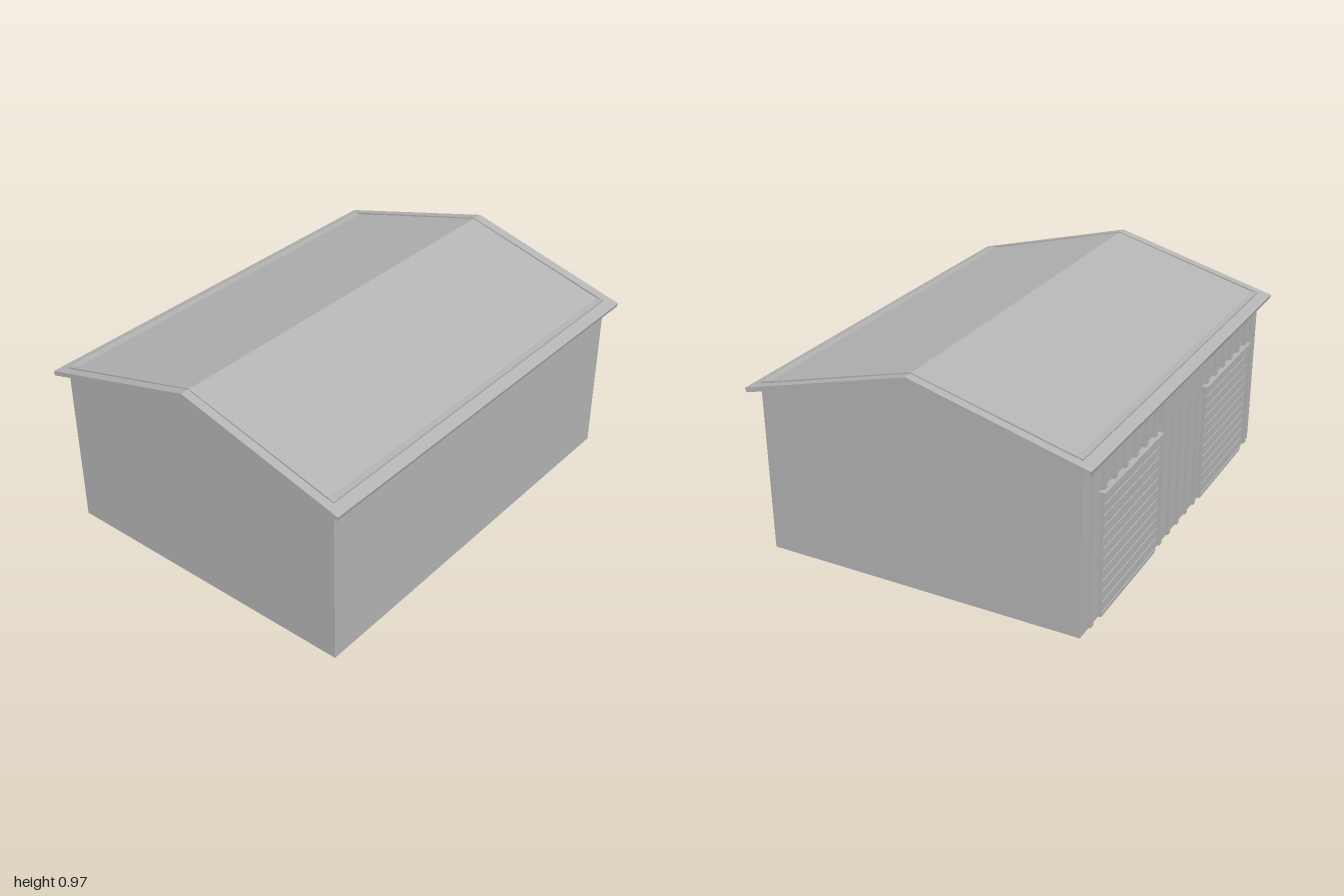
import * as THREE from 'three';

export function createModel() {
  const model = new THREE.Group();
  model.name = 'shed';
  const steel = new THREE.MeshStandardMaterial({ color: 0xb4b4b4 });
  steel.name = 'plain grey steel';

  function add(name, geometry, parent = model) {
    const mesh = new THREE.Mesh(geometry, steel);
    mesh.name = name;
    parent.add(mesh);
    return mesh;
  }
  // Box given by its limits on each axis
  function box(name, x0, x1, y0, y1, z0, z1, parent) {
    const mesh = add(name, new THREE.BoxGeometry(x1 - x0, y1 - y0, z1 - z0), parent);
    mesh.position.set((x0 + x1) / 2, (y0 + y1) / 2, (z0 + z1) / 2);
    return mesh;
  }
  // Outline of [z, y] points, extruded along x
  function profile(name, points, x0, x1) {
    const shape = new THREE.Shape(points.map(([z, y]) => new THREE.Vector2(-z, y)));
    const geometry = new THREE.ExtrudeGeometry(shape, { depth: x1 - x0, bevelEnabled: false });
    geometry.rotateY(Math.PI / 2);
    geometry.translate(x0, 0, 0);
    return add(name, geometry);
  }

  // Main body
  box('walls', -0.96, 0.96, 0, 0.775, -0.72, 0.72);

  // Gable ends, their top edges standing just proud of the roof
  for (const x of [-0.962, 0.945]) {
    profile('gable', [[-0.72, 0.775], [0.72, 0.775], [0, 0.966]], x, x + 0.017);
  }

  // Pitched roof slab with overhanging eaves
  profile('roof', [
    [-0.772, 0.753], [-0.766, 0.734], [0, 0.94],
    [0.766, 0.734], [0.772, 0.753], [0, 0.961],
  ], -1, 1);

  // Upright ribs on the back cladding
  const cladding = new THREE.Group();
  cladding.name = 'backCladding';
  model.add(cladding);
  for (let i = -9; i <= 9; i++) {
    const x = i * 0.098;
    box('rib', x - 0.013, x + 0.013, 0.01, 0.745, -0.734, -0.715, cladding);
  }

  // Two roller doors
  for (const side of [-1, 1]) {
    const door = new THREE.Group();
    door.name = side > 0 ? 'leftRollerDoor' : 'rightRollerDoor';
    door.position.x = side * 0.533;
    model.add(door);
    box('curtain', -0.268, 0.268, 0.005, 0.55, -0.7355, -0.715, door);
    box('housing', -0.284, 0.284, 0.537, 0.57, -0.748, -0.715, door);
    for (let i = 0; i < 11; i++) {
      const y = 0.023 + i * 0.0484;
      box('slatRidge', -0.268, 0.268, y - 0.005, y + 0.005, -0.7395, -0.73, door);
    }
  }

  // Blank panel above the middle bay
  box('headerPanel', -0.245, 0.245, 0.597, 0.715, -0.742, -0.715);

  return model;
}
